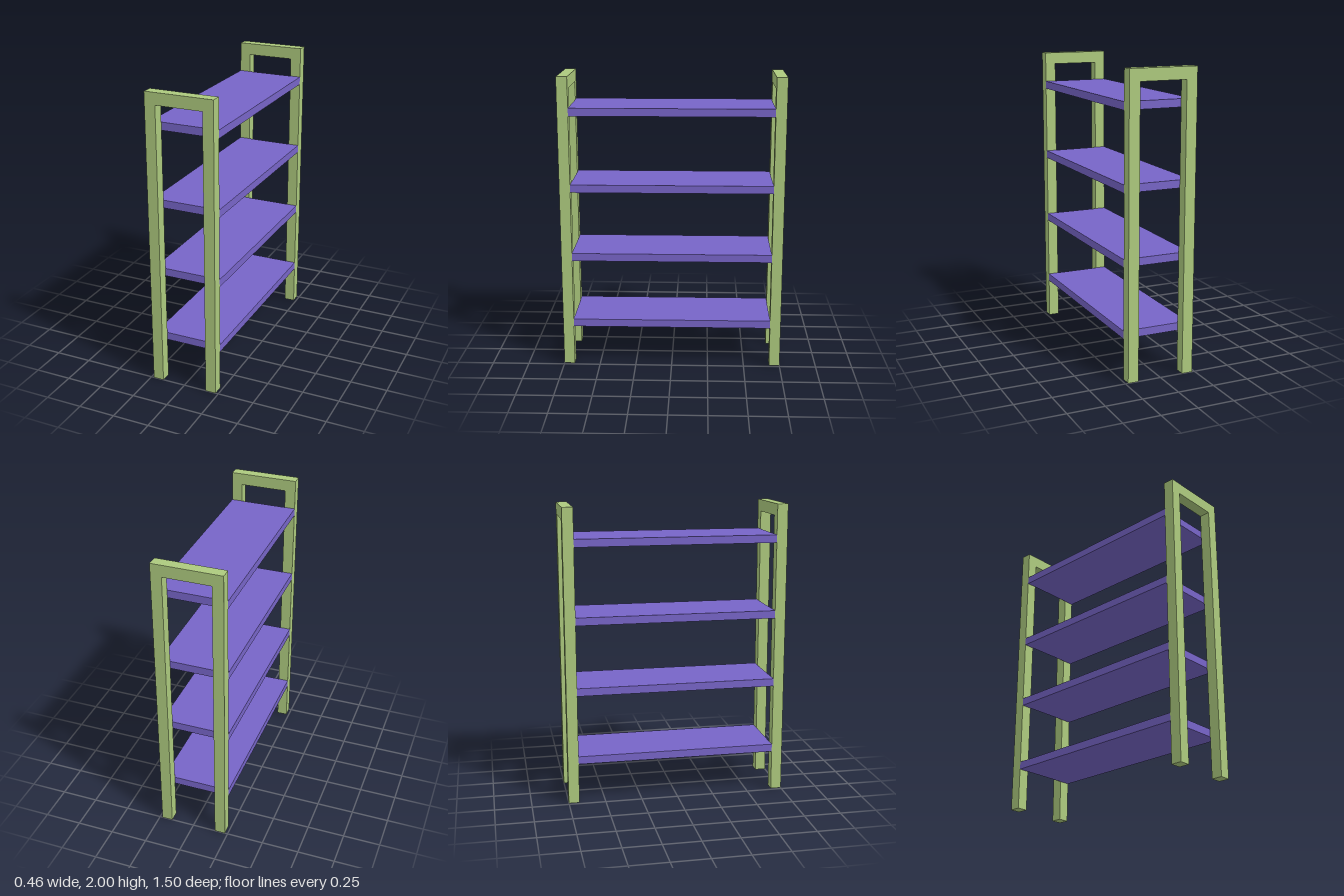
import * as THREE from 'three';

const HALF_W = 0.231, INNER_W = 0.158, HEIGHT = 2, RAIL_Y = 1.92;
const INNER_Z = 0.678, FRAME_D = 0.073;

export function createModel() {
  const model = new THREE.Group();
  const green = new THREE.MeshStandardMaterial({ color: 0xadca7e, flatShading: true });
  const purple = new THREE.MeshStandardMaterial({ color: 0x7765c8, flatShading: true });

  // End frames: two legs joined by a top rail, as one upside-down U
  const outline = new THREE.Shape([
    [-HALF_W, 0], [-INNER_W, 0], [-INNER_W, RAIL_Y], [INNER_W, RAIL_Y],
    [INNER_W, 0], [HALF_W, 0], [HALF_W, HEIGHT], [-HALF_W, HEIGHT],
  ].map(([x, y]) => new THREE.Vector2(x, y)));
  const frameGeo = new THREE.ExtrudeGeometry(outline, { depth: FRAME_D, bevelEnabled: false });
  for (const [name, z] of [['frontFrame', INNER_Z], ['backFrame', -INNER_Z - FRAME_D]]) {
    const frame = new THREE.Mesh(frameGeo, green);
    frame.name = name;
    frame.position.z = z;
    model.add(frame);
  }

  // Shelves spanning between the frames
  const shelfGeo = new THREE.BoxGeometry(HALF_W * 2, 0.053, INNER_Z * 2);
  [0.302, 0.777, 1.255, 1.769].forEach((y, i) => {
    const shelf = new THREE.Mesh(shelfGeo, purple);
    shelf.name = `shelf${i + 1}`;
    shelf.position.y = y;
    model.add(shelf);
  });

  return model;
}
